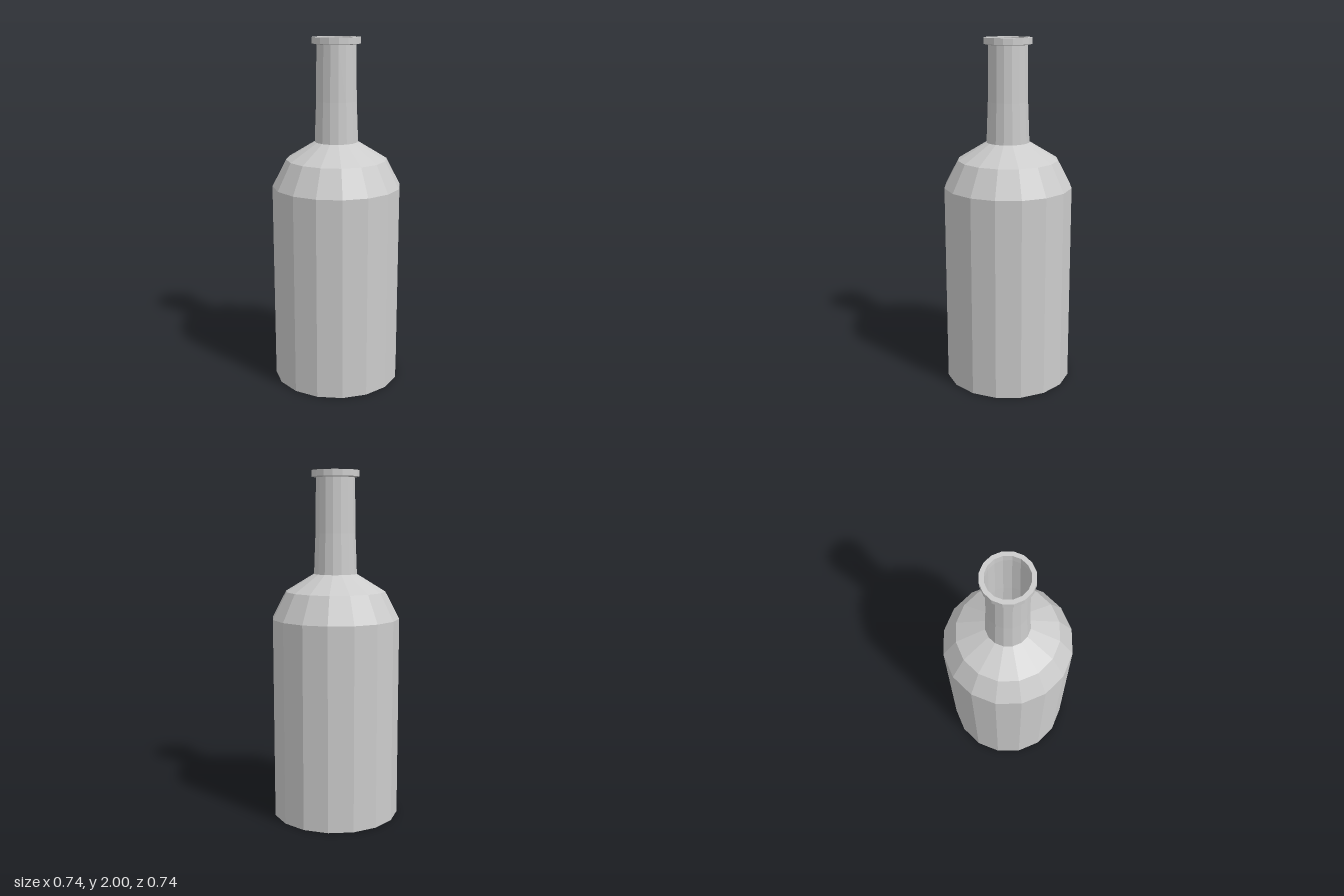
import * as THREE from 'three';

const SIDES = 16;

export function createModel() {
  const bottle = new THREE.Group();
  bottle.name = 'bottle';
  const material = new THREE.MeshStandardMaterial({
    color: 0xcccccc, flatShading: true, side: THREE.DoubleSide,
  });

  // Turns a [radius, height] profile into a faceted part
  const turn = (name, profile) => {
    const points = profile.map(([r, y]) => new THREE.Vector2(r, y));
    const mesh = new THREE.Mesh(new THREE.LatheGeometry(points, SIDES), material);
    mesh.name = name;
    bottle.add(mesh);
  };

  // Recessed underside with a flat standing ring
  turn('base', [[0, 0.04], [0.312, 0.04], [0.34, 0], [0.369, 0]]);
  // Straight wall
  turn('body', [[0.369, 0], [0.369, 1.165]]);
  // Two-step shoulder
  turn('shoulder', [[0.369, 1.165], [0.288, 1.32], [0.124, 1.42]]);
  // Open neck, flaring slightly towards the shoulder
  turn('neck', [[0.124, 1.42], [0.115, 1.65], [0.111, 1.96]]);
  // Collar around the mouth
  turn('lip', [[0.111, 1.96], [0.137, 1.965], [0.137, 2], [0.113, 2], [0.111, 1.96]]);

  return bottle;
}
